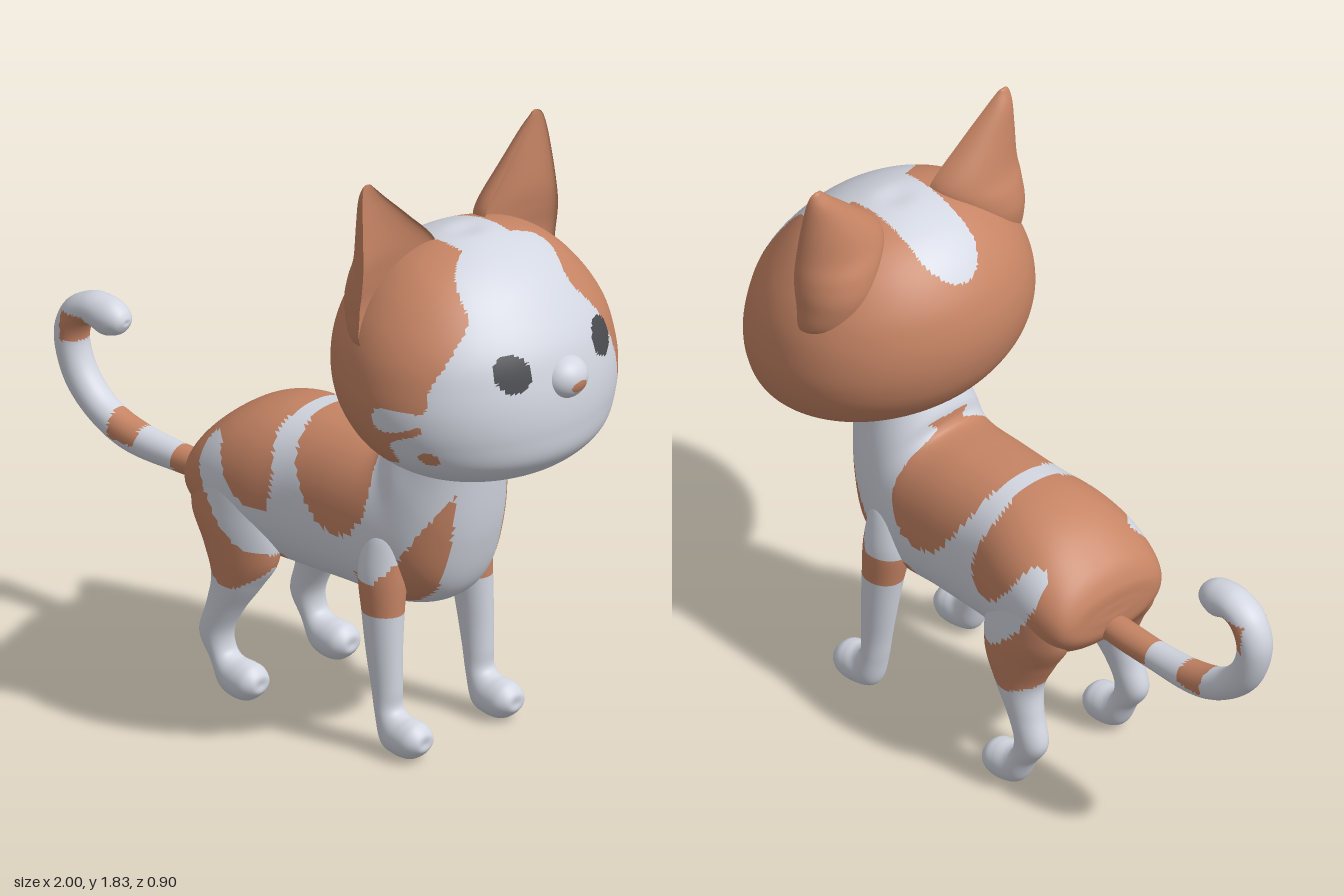
import * as THREE from 'three';

const flat = (name, color) => Object.assign(new THREE.MeshStandardMaterial({ color }), { name });
const white = flat('white fur', 0xd2d6e0);
const orange = flat('orange fur', 0xc68464);
const dark = flat('eye black', 0x494b4f);
const coat = [white, orange, dark];

// Skin over stations [ax, ay, bx, by, halfWidth, z]: each ring is an oval from a to b.
// square < 1 makes rings boxier; dish scales the b side (negative makes it hollow).
function loft(stations, rows, cols, { side = 1, square = 1, dish = 1 } = {}) {
  const closed = (s) => {
    const mx = (s[0] + s[2]) / 2, my = (s[1] + s[3]) / 2;
    return [mx, my, mx, my, 0, s[5]];
  };
  const list = [closed(stations[0]), ...stations, closed(stations.at(-1))];
  const spline = (f) => new THREE.CatmullRomCurve3(list.map(f), false, 'catmullrom', 0.5).getPoints(rows);
  const A = spline((s) => new THREE.Vector3(s[0], s[1], s[4]));
  const B = spline((s) => new THREE.Vector3(s[2], s[3], (s[5] ?? 0) * side));
  const pow = (v) => Math.sign(v) * Math.abs(v) ** square;
  const pos = [], index = [];
  let turn = 0;
  for (let i = 0; i <= rows; i++) {
    const a = A[i], b = B[i], ux = (b.x - a.x) / 2, uy = (b.y - a.y) / 2;
    if (i) turn += uy * (a.x + b.x - A[i - 1].x - B[i - 1].x) - ux * (a.y + b.y - A[i - 1].y - B[i - 1].y);
    for (let j = 0; j < cols; j++) {
      const t = (j / cols) * Math.PI * 2;
      let c = pow(Math.cos(t));
      if (c > 0) c *= dish;
      pos.push((a.x + b.x) / 2 + ux * c, (a.y + b.y) / 2 + uy * c, b.z + Math.max(a.z, 0) * pow(Math.sin(t)));
    }
  }
  for (let i = 0; i < rows; i++) for (let j = 0; j < cols; j++) {
    const k = (j + 1) % cols, p = i * cols + j, q = i * cols + k, r = p + cols, s = q + cols;
    index.push(...(turn > 0 ? [p, q, r, q, s, r] : [p, r, q, q, r, s]));
  }
  const g = new THREE.BufferGeometry();
  g.setAttribute('position', new THREE.Float32BufferAttribute(pos, 3));
  g.setIndex(index);
  g.computeVertexNormals();
  return g;
}

// Sort faces into colour groups by a rule on the face centre
function paint(g, rule) {
  const p = g.attributes.position, idx = g.index.array, bins = [[], [], []];
  for (let i = 0; i < idx.length; i += 3) {
    const f = [idx[i], idx[i + 1], idx[i + 2]];
    const mean = (get) => f.reduce((sum, v) => sum + p[get](v), 0) / 3;
    bins[rule(mean('getX'), mean('getY'), mean('getZ'))].push(...f);
  }
  g.setIndex(bins.flat());
  let start = 0;
  bins.forEach((b, m) => { if (b.length) g.addGroup(start, b.length, m); start += b.length; });
  return g;
}

// Smooth closed marking outline, seen from the side
function marking(points) {
  const v = [...points, points[0]].map(([x, y]) => new THREE.Vector2(x, y));
  const o = new THREE.SplineCurve(v).getPoints(points.length * 5);
  return (x, y) => {
    let inside = false;
    for (let i = 0, j = o.length - 1; i < o.length; j = i++) {
      if ((o[i].y > y) !== (o[j].y > y) &&
        x < ((o[j].x - o[i].x) * (y - o[i].y)) / (o[j].y - o[i].y) + o[i].x) inside = !inside;
    }
    return inside;
  };
}

const rump = marking([[-0.45, 0.5], [-0.45, 0.95], [-0.05, 0.95], [-0.03, 0.85], [0, 0.75], [0, 0.66],
  [-0.04, 0.62], [-0.12, 0.65], [-0.17, 0.72], [-0.21, 0.79], [-0.26, 0.78], [-0.265, 0.7], [-0.2, 0.58],
  [-0.1, 0.49], [-0.01, 0.47], [-0.03, 0.42], [-0.09, 0.37], [-0.15, 0.355], [-0.22, 0.38], [-0.3, 0.42]]);
const saddle = marking([[0.03, 0.95], [0.045, 0.87], [0.08, 0.78], [0.15, 0.67], [0.22, 0.63], [0.3, 0.64],
  [0.35, 0.72], [0.355, 0.8], [0.33, 0.9], [0.32, 0.95]]);
const leftCheek = marking([[0.1, 0.9], [0.1, 1.7], [0.55, 1.68], [0.62, 1.6], [0.69, 1.54], [0.78, 1.45], [0.785, 1.36],
  [0.76, 1.28], [0.755, 1.21], [0.7, 1.205], [0.61, 1.2], [0.605, 1.14], [0.67, 1.135], [0.74, 1.165], [0.74, 1.14],
  [0.65, 1.1], [0.65, 1.06], [0.64, 1.02], [0.5, 0.985], [0.33, 0.92]]);
const rightCheek = marking([[0.1, 0.9], [0.1, 1.7], [0.55, 1.68], [0.66, 1.56], [0.8, 1.48], [0.86, 1.38], [0.885, 1.25],
  [0.865, 1.1], [0.78, 1.04], [0.64, 1.01], [0.5, 0.985], [0.33, 0.92]]);

function bodyCoat(x, y, z) {
  const w = Math.abs(z);
  if (w < 0.1 && y < 0.5 && x > -0.25) return 0;
  const cuff = x > 0.3 && w > 0.11 && y > 0.425 && y < 0.52 + Math.max(0, x - 0.42) * 1.5;
  return cuff || rump(x, y) || saddle(x, y) ? 1 : 0;
}

function headCoat(x, y, z) {
  if (x > 0.75 && Math.hypot(Math.abs(z) - 0.188, y - 1.305) < 0.055) return 2;
  if (z > 0 && Math.hypot(x - 0.755, (y - 1.06) * 1.3) < 0.028) return 1;
  const crown = y > 1.3 && (x > 0.37 ? Math.abs(z - 0.005) < 0.1 : Math.hypot(x - 0.37, z - 0.005) < 0.1);
  if (crown) return 0;
  return (z > 0 ? leftCheek : rightCheek)(x, y) ? 1 : 0;
}

function tailCoat(x, y) {
  if (y < 0.7 && x > -0.53) return 1;
  if (x > -0.77 && x < -0.67 && y > 0.575 && y < 0.7) return 1;
  return x < -0.865 && x > -0.95 && y > 0.83 && y < 0.92 ? 1 : 0;
}

const bodyRings = [
  [-0.365, 0.66, -0.365, 0.6, 0.1], [-0.36, 0.71, -0.355, 0.55, 0.175], [-0.32, 0.775, -0.31, 0.5, 0.215],
  [-0.22, 0.85, -0.22, 0.45, 0.235], [-0.1, 0.89, -0.1, 0.42, 0.235], [0.05, 0.9, 0.03, 0.41, 0.215],
  [0.2, 0.9, 0.22, 0.41, 0.215], [0.3, 0.9, 0.4, 0.405, 0.215], [0.33, 0.92, 0.55, 0.47, 0.205],
  [0.34, 0.96, 0.62, 0.64, 0.19], [0.36, 1, 0.65, 0.85, 0.165], [0.4, 1.06, 0.65, 1, 0.155]];
const frontLegRings = [
  [0.35, 0.66, 0.46, 0.66, 0.04, 0.17], [0.325, 0.55, 0.475, 0.55, 0.065, 0.18], [0.345, 0.42, 0.475, 0.42, 0.057, 0.19],
  [0.365, 0.3, 0.475, 0.3, 0.05, 0.195], [0.385, 0.2, 0.475, 0.2, 0.046, 0.195], [0.4, 0.12, 0.475, 0.145, 0.046, 0.195],
  [0.425, 0.03, 0.5, 0.125, 0.052, 0.195], [0.475, 0.006, 0.53, 0.12, 0.058, 0.195],
  [0.535, 0.006, 0.555, 0.112, 0.056, 0.195], [0.575, 0.035, 0.578, 0.088, 0.034, 0.195]];
const hindLegRings = [
  [-0.3, 0.68, -0.08, 0.72, 0.05, 0.175], [-0.33, 0.56, -0.02, 0.56, 0.08, 0.165], [-0.28, 0.46, -0.02, 0.44, 0.075, 0.17],
  [-0.24, 0.37, -0.07, 0.355, 0.062, 0.18], [-0.25, 0.28, -0.13, 0.27, 0.05, 0.19], [-0.275, 0.18, -0.165, 0.2, 0.046, 0.195],
  [-0.225, 0.1, -0.165, 0.145, 0.046, 0.195], [-0.19, 0.03, -0.14, 0.125, 0.052, 0.195],
  [-0.145, 0.006, -0.1, 0.12, 0.058, 0.195], [-0.09, 0.006, -0.072, 0.112, 0.056, 0.195],
  [-0.053, 0.035, -0.05, 0.088, 0.034, 0.195]];
const tailRings = [
  [-0.34, 0.605, -0.34, 0.53, 0.042], [-0.53, 0.61, -0.54, 0.525, 0.045], [-0.69, 0.63, -0.72, 0.535, 0.05],
  [-0.8, 0.67, -0.85, 0.59, 0.052], [-0.87, 0.74, -0.955, 0.69, 0.053], [-0.9, 0.82, -1, 0.83, 0.054],
  [-0.885, 0.875, -0.965, 0.935, 0.055], [-0.86, 0.89, -0.88, 0.985, 0.056], [-0.81, 0.872, -0.8, 0.985, 0.056],
  [-0.762, 0.885, -0.758, 0.965, 0.042], [-0.742, 0.91, -0.74, 0.94, 0.02]];
const headRings = [
  [0.62, 0.907, 0.74, 0.907, 0.07], [0.5, 0.926, 0.82, 0.926, 0.2], [0.4, 0.96, 0.895, 0.96, 0.305],
  [0.31, 1.02, 0.95, 1.02, 0.385], [0.25, 1.1, 0.966, 1.1, 0.43], [0.22, 1.18, 0.967, 1.18, 0.447],
  [0.21, 1.26, 0.955, 1.26, 0.442], [0.22, 1.34, 0.93, 1.34, 0.422], [0.25, 1.42, 0.88, 1.42, 0.38],
  [0.31, 1.5, 0.81, 1.5, 0.31], [0.39, 1.56, 0.725, 1.56, 0.22], [0.49, 1.597, 0.63, 1.597, 0.09]];
const earRings = [
  [0.43, 1.35, 0.61, 1.35, 0.12, 0.285], [0.395, 1.45, 0.655, 1.45, 0.13, 0.29], [0.4, 1.53, 0.67, 1.53, 0.15, 0.27],
  [0.425, 1.6, 0.645, 1.6, 0.152, 0.262], [0.45, 1.7, 0.6, 1.7, 0.098, 0.307], [0.47, 1.78, 0.56, 1.78, 0.05, 0.345],
  [0.488, 1.82, 0.528, 1.82, 0.025, 0.36], [0.496, 1.834, 0.512, 1.834, 0.011, 0.36]];

export function createModel() {
  const cat = new THREE.Group();
  cat.name = 'cat';
  const add = (name, geometry, material = coat) => {
    const mesh = new THREE.Mesh(geometry, material);
    mesh.name = name;
    cat.add(mesh);
  };

  add('body', paint(loft(bodyRings, 110, 90, { square: 0.9 }), bodyCoat));
  add('tail', paint(loft(tailRings, 120, 28), tailCoat));
  add('head', paint(loft(headRings, 150, 180), headCoat));

  // Muzzle bump with a painted nose tip
  const muzzle = new THREE.SphereGeometry(1, 64, 48).scale(0.07, 0.065, 0.075).translate(0.93, 1.25, 0);
  add('muzzle', paint(muzzle, (x, y, z) => (x > 0.95 && Math.hypot(z, (y - 1.235) * 1.7) < 0.031 ? 1 : 0)));

  // Paired legs and ears
  for (const [label, side] of [['left', 1], ['right', -1]]) {
    // the model faces +x, so its flanks lie on +z and -z
    add(label + ' front leg', paint(loft(frontLegRings, 90, 40, { side }), bodyCoat));
    add(label + ' hind leg', paint(loft(hindLegRings, 100, 48, { side }), bodyCoat));
    add(label + ' ear', loft(earRings, 50, 48, { side, dish: -0.3 }), orange);
  }
  return cat;
}
